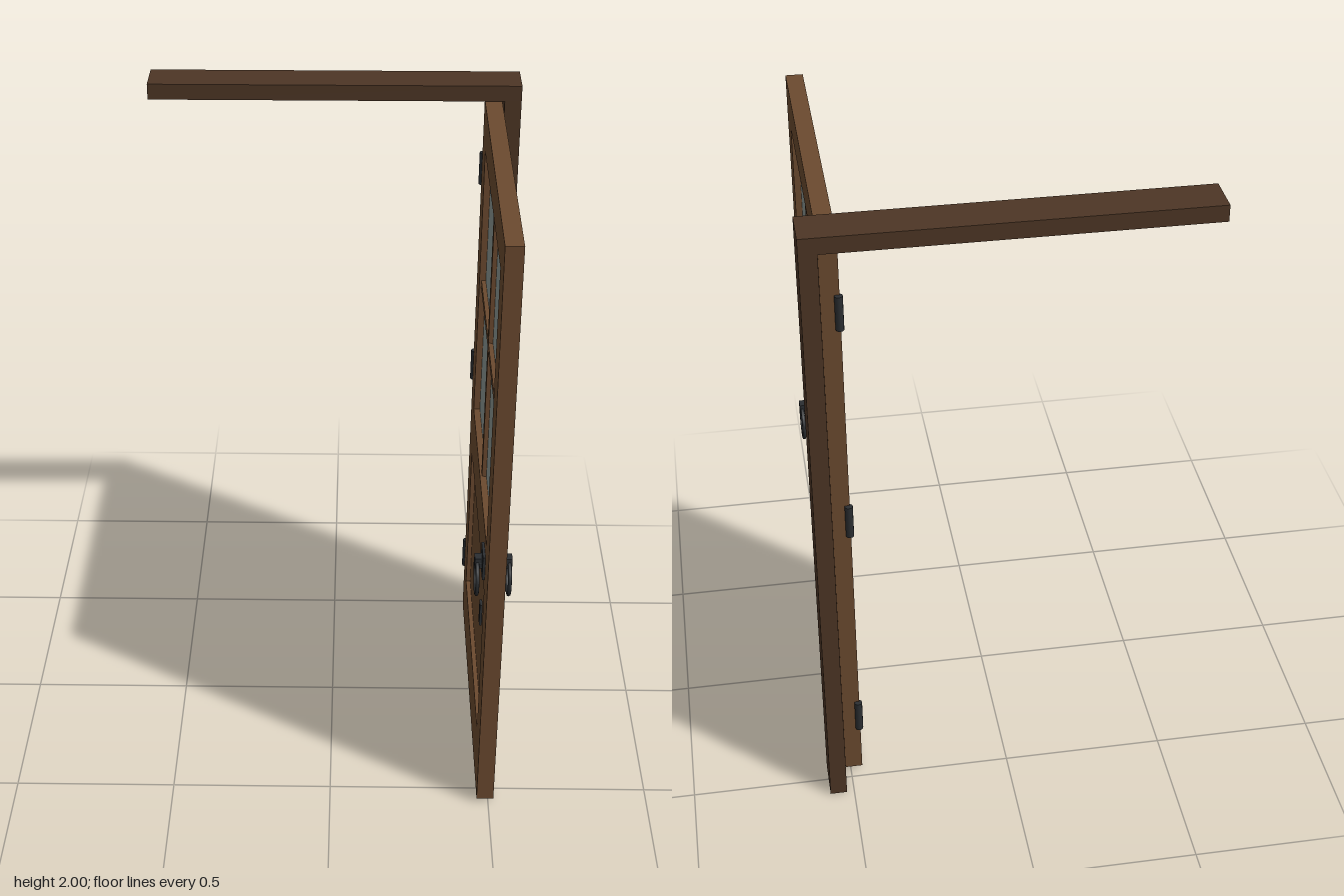
import * as THREE from 'three';

export function createModel() {
  const material = (name, color) => {
    const m = new THREE.MeshStandardMaterial({ color });
    m.name = name;
    return m;
  };
  const doorWood = material('doorWood', 0x6b4a2f);
  const frameWood = material('frameWood', 0x4d3625);
  const glass = material('paleGlass', 0x8a9694);
  const iron = material('darkIron', 0x2b2e31);

  const model = new THREE.Group();
  model.name = 'openDoor';

  const add = (parent, name, geometry, mat, x = 0, y = 0, z = 0) => {
    const mesh = new THREE.Mesh(geometry, mat);
    mesh.name = name;
    mesh.position.set(x, y, z);
    parent.add(mesh);
    return mesh;
  };
  // Box given by its extents on each axis
  const box = (parent, name, mat, [x0, x1], [y0, y1], [z0, z1]) =>
    add(parent, name, new THREE.BoxGeometry(x1 - x0, y1 - y0, z1 - z0), mat,
      (x0 + x1) / 2, (y0 + y1) / 2, (z0 + z1) / 2);

  // Frame: one jamb and the header
  const frameZ = [-0.565, -0.44];
  box(model, 'jamb', frameWood, [0.523, 0.575], [0, 1.95], frameZ);
  box(model, 'header', frameWood, [-0.578, 0.575], [1.95, 2], frameZ);

  // Door leaf, swung open, built about its own mid-plane
  const door = new THREE.Group();
  door.name = 'door';
  door.position.x = 0.49;
  model.add(door);
  const T = 0.0265;
  const full = [-T, T];
  const inner = [-0.35, 0.445];
  box(door, 'hingeStile', doorWood, full, [0.015, 1.945], [-0.47, -0.35]);
  box(door, 'latchStile', doorWood, full, [0.015, 1.945], [0.445, 0.565]);
  box(door, 'bottomRail', doorWood, full, [0.015, 0.199], inner);
  box(door, 'middleRail', doorWood, full, [0.736, 0.903], inner);
  box(door, 'topRail', doorWood, full, [1.823, 1.945], inner);
  box(door, 'lowerPanel', doorWood, [-0.012, 0.012], [0.199, 0.736], inner);

  // Glazing bars and four panes
  box(door, 'verticalBar', doorWood, [-0.02, 0.02], [0.903, 1.823], [0.032, 0.064]);
  for (const [z0, z1] of [[-0.35, 0.032], [0.064, 0.445]]) {
    box(door, 'horizontalBar', doorWood, [-0.02, 0.02], [1.353, 1.379], [z0, z1]);
    for (const y of [[0.903, 1.353], [1.379, 1.823]]) {
      box(door, 'pane', glass, [-0.006, 0.006], y, [z0, z1]);
    }
  }

  // Handle set on both faces
  for (const side of [-1, 1]) {
    const handle = new THREE.Group();
    handle.name = side < 0 ? 'innerHandle' : 'outerHandle';
    handle.position.set(side * T, 0, 0.407);
    door.add(handle);
    add(handle, 'backPlate', new THREE.BoxGeometry(0.008, 0.08, 0.084), iron, side * 0.004, 0.82);
    const knob = add(handle, 'ringBoss', new THREE.CylinderGeometry(0.017, 0.017, 0.03, 12), iron, side * 0.015, 0.82);
    knob.rotation.z = Math.PI / 2;
    knob.position.x = side * 0.015;
    // Outer end of the boss that carries the ring
    box(handle, 'ringHolder', iron, side < 0 ? [-0.03, -0.008] : [0.008, 0.03], [0.803, 0.838], [-0.016, 0.016]);
    const ring = add(handle, 'pullRing', new THREE.TorusGeometry(0.056, 0.006, 8, 24), iron, side * 0.022, 0.766);
    ring.rotation.y = Math.PI / 2;
    add(handle, 'keyPlate', new THREE.BoxGeometry(0.008, 0.075, 0.032), iron, side * 0.004, 0.628);
  }

  // Hinge barrels on the inner corner
  for (const y of [0.237, 1.004, 1.714]) {
    add(door, 'hinge', new THREE.CylinderGeometry(0.012, 0.012, 0.107, 12), iron, -0.023, y, -0.474);
  }
  return model;
}
